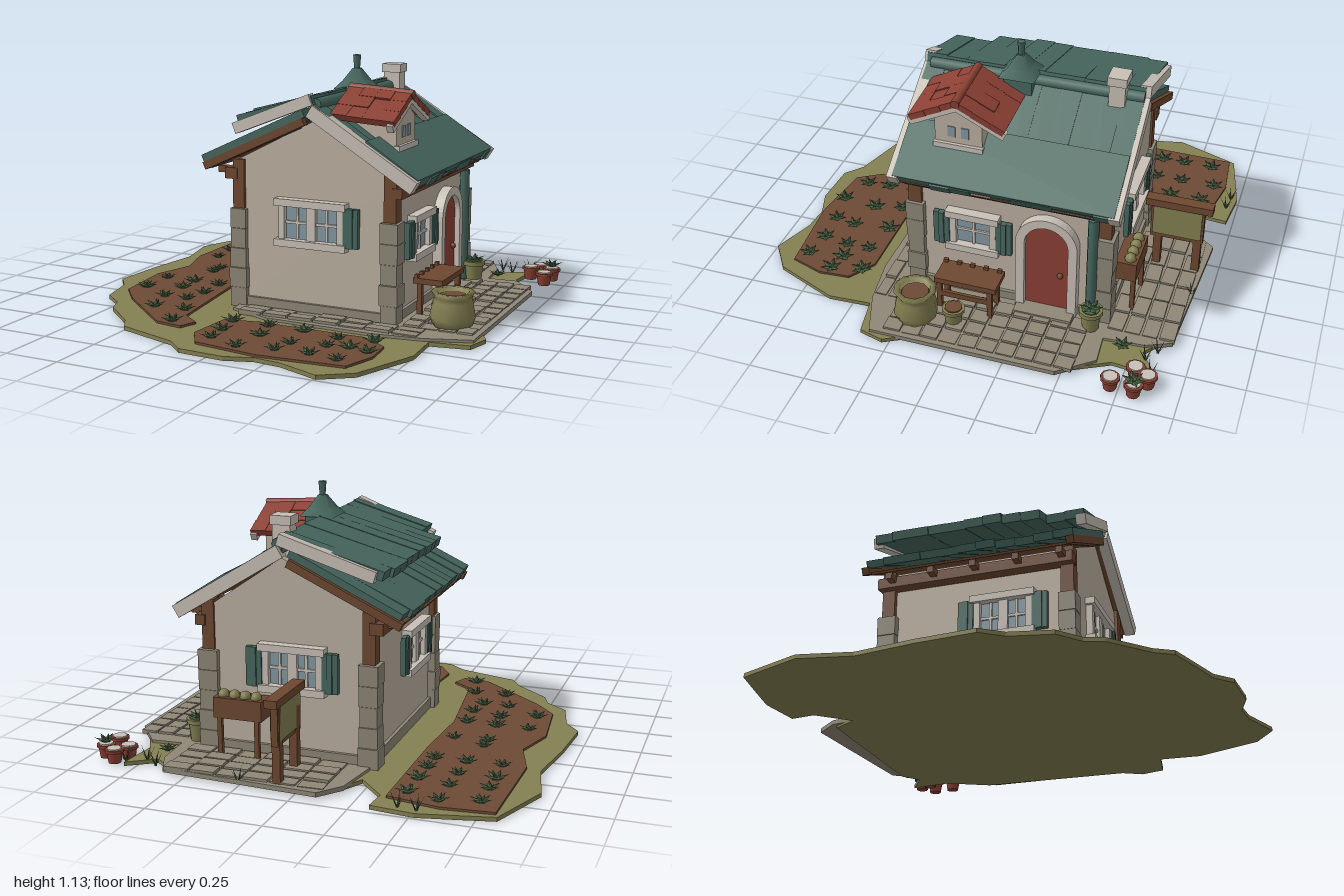
import * as THREE from 'three';
import { mergeGeometries } from 'three/addons/utils/BufferGeometryUtils.js';

const mat = (name, color, side = THREE.FrontSide) => {
  const m = new THREE.MeshStandardMaterial({ color, side });
  m.name = name;
  return m;
};

export function createModel() {
  const M = {
    wall: mat('plaster', 0xbdb1a2), trim: mat('pale trim', 0xc9c1b7), stone: mat('stone', 0x8f8878),
    teal: mat('teal', 0x47685f), red: mat('red', 0x8c4034), wood: mat('wood', 0x6e4830),
    soil: mat('soil', 0x6d4b36), grass: mat('olive', 0x848052), leaf: mat('leaf', 0x506c4a, THREE.DoubleSide),
    glass: mat('glass', 0x8499a3),
  };
  const root = new THREE.Group();
  root.name = 'cottage';
  let seed = 7;
  const rnd = (a, b) => {
    seed = (seed * 16807) % 2147483647;
    return a + (b - a) * seed / 2147483647;
  };

  const add = (name, geo, material, parent = root, x = 0, y = 0, z = 0) => {
    const m = new THREE.Mesh(geo, material);
    m.name = name;
    m.position.set(x, y, z);
    parent.add(m);
    return m;
  };
  // box given by its minimum and maximum on each axis
  const box = (name, material, x0, x1, y0, y1, z0, z1, parent = root) =>
    add(name, new THREE.BoxGeometry(x1 - x0, y1 - y0, z1 - z0), material, parent, (x0 + x1) / 2, (y0 + y1) / 2, (z0 + z1) / 2);
  // plank whose top edge runs between two points in x and y
  const slope = (name, material, [xa, ya], [xb, yb], z0, z1, t) => {
    const len = Math.hypot(xb - xa, yb - ya), a = Math.atan2(yb - ya, xb - xa);
    const m = add(name, new THREE.BoxGeometry(len, t, z1 - z0).translate(0, -t / 2, 0), material, root,
      (xa + xb) / 2, (ya + yb) / 2, (z0 + z1) / 2);
    m.rotation.z = a;
    return m;
  };
  const shapeOf = pts => new THREE.Shape(pts.map(p => new THREE.Vector2(p[0], p[1])));
  const extrude = (shape, depth) => new THREE.ExtrudeGeometry(shape, { depth, bevelEnabled: false, curveSegments: 10 });
  // ground layer from an outline in x and z
  const slab = (name, material, pts, y0, y1) =>
    add(name, extrude(shapeOf(pts.map(([x, z]) => [x, -z])), y1 - y0).rotateX(-Math.PI / 2), material, root, 0, y0, 0);
  const cyl = (name, material, r0, r1, h, x, y, z, sides = 10) =>
    add(name, new THREE.CylinderGeometry(r1, r0, h, sides), material, root, x, y + h / 2, z);

  // Ground, soil beds and paving
  slab('grass', M.grass, [[-.94, -.63], [-.83, -.92], [-.7, -.95], [-.52, -.99], [-.33, -.97], [-.34, -.86], [-.22, -.73],
    [-.16, -.84], [.6, -.86], [.68, -.8], [.8, -.88], [.78, -.69], [.88, -.5], [.9, .19], [.95, .28], [.92, .39], [.75, .42],
    [.76, .61], [.64, .9], [.51, .99], [.32, .92], [.2, .91], [.08, .95], [-.13, .94], [-.21, .87], [-.5, .78], [-.55, .7],
    [-.71, .56], [-.74, .48], [-.84, .4], [-.88, .22], [-.95, .13], [-.93, -.13], [-.89, -.4]], 0, .018);
  slab('left soil bed', M.soil, [[-.82, -.9], [-.6, -.92], [-.37, -.88], [-.37, -.3], [-.39, .05], [-.33, .55], [-.24, .62],
    [-.27, .7], [-.4, .68], [-.55, .55], [-.7, .42], [-.8, .3], [-.83, 0], [-.77, -.2], [-.83, -.4]], .012, .028);
  slab('front soil bed', M.soil, [[-.15, .53], [0, .5], [.5, .5], [.62, .58], [.63, .72], [.58, .87], [.2, .9], [-.1, .86],
    [-.17, .75]], .012, .028);
  slab('paving', M.stone, [[-.18, -.85], [-.1, -.95], [.6, -.91], [.65, -.8], [.66, -.62], [.8, -.63], [.92, -.48], [.92, .35],
    [.72, .42], [.5, .45], [0, .44], [-.2, .36], [-.22, -.6]], .01, .03);
  const tiles = (x0, x1, z0, z1, w, d) => {
    for (let z = z0; z + d <= z1 + .01; z += d) for (let x = x0; x + w <= x1 + .01; x += w)
      box('paving stone', M.stone, x + .005, x + w - .005, .02, rnd(.033, .044), z + .005, z + d - .005).rotation.y = rnd(-.05, .05);
  };
  tiles(-.12, .6, -.92, -.62, .12, .075);
  tiles(.58, .9, -.55, .3, .08, .085);
  tiles(-.15, .7, .3, .42, .121, .06);

  // Walls, stone footing and corner stones
  add('walls', extrude(shapeOf([[-.21, .02], [.53, .02], [.53, .65], [.18, .89], [-.21, .69]]), .88), M.wall, root, 0, 0, -.6);
  box('footing', M.stone, -.225, .545, .02, .07, -.615, .295);
  for (const x of [-.205, .52]) for (const z of [-.58, .265]) {
    for (let i = 0; i < 5; i++) {
      const w = rnd(.035, .046);
      box('corner stone', M.stone, x - w, x + w, .02 + i * .09, .108 + i * .09, z - w, z + w);
    }
    box('corner post', M.wood, x - .028, x + .028, .47, .69, z - .03, z + .03);
  }

  // Roof strips: steep right slope, low left layer and raised left layer
  const ridge = [.18, .955];
  for (let i = 0; i < 11; i++) {
    const z0 = -.64 + i * .0885, z1 = z0 + .0885;
    const d = rnd(-.006, .006), e = rnd(-.01, .01);
    slope('right roof strip', M.teal, [.18, .955 + d], [.65 + e, .655 + d], z0, z1, .045);
    slope('left lower strip', M.teal, [.14, .9 + d], [-.355 + e, .668 + d], z0, z1, .035);
    slope('left upper strip', M.teal, [.18, .955 + d], z1 < .19 ? [-.28 + e, .83 + d] : [-.18, .85 + d], z0, z1, .04);
  }
  slope('right course', M.teal, [.42, .817], [.655, .667], -.64, .32, .03);
  for (const z of [-.65, .31]) {
    slope('right barge board', M.trim, ridge, [.66, .66], z - .012, z + .035, .058);
    slope('left barge board', M.trim, ridge, z < 0 ? [-.24, .825] : [-.19, .81], z - .012, z + .035, .05);
    slope('lower barge board', M.wood, [.14, .866], [-.35, .638], z - .01, z + .025, .035);
  }
  slope('right soffit', M.wood, [.2, .895], [.63, .625], -.62, .3, .012);
  slope('left soffit', M.wood, [.1, .845], [-.34, .64], -.62, .3, .012);
  add('ridge roll', new THREE.CylinderGeometry(.027, .027, .95, 8).rotateX(Math.PI / 2), M.teal, root, .18, .955, -.165);
  box('right eave beam', M.wood, .53, .575, .575, .62, -.62, .3);
  box('left eave beam', M.wood, -.27, -.21, .6, .65, -.62, .3);
  for (let i = 0; i < 5; i++) {
    const z = -.56 + i * .2;
    box('right rafter', M.wood, .53, .62, .61, .64, z, z + .03);
    box('left rafter', M.wood, -.32, -.21, .62, .65, z, z + .03);
  }

  // Chimney and cupola
  box('chimney', M.trim, .155, .235, .88, 1.04, -.565, -.495);
  box('chimney cap', M.trim, .148, .242, 1.02, 1.06, -.572, -.488);
  box('cupola base', M.teal, .13, .25, .88, .99, -.165, -.04);
  const pyramid = (r0, r1, h, y) => {
    cyl('cupola roof', M.teal, r0, r1, h, .19, y, -.1, 4).rotation.y = Math.PI / 4;
  };
  pyramid(.112, .07, .035, .985);
  pyramid(.07, .022, .055, 1.02);
  cyl('cupola finial', M.teal, .013, .018, .065, .19, 1.07, -.1, 6);

  // Dormer: gabled wall, tiled red roof and pale edge
  const dormer = new THREE.Group();
  dormer.name = 'dormer';
  dormer.rotation.y = Math.PI / 2;
  dormer.position.set(0, 0, .075);
  root.add(dormer);
  add('dormer wall', extrude(shapeOf([[-.105, .72], [.105, .72], [.105, .89], [0, .96], [-.105, .89]]), .28), M.wall, dormer, 0, 0, .22);
  box('dormer sill', M.trim, -.11, .11, .755, .78, .49, .515, dormer);
  for (const x of [-.03, .03]) box('dormer pane', M.glass, x - .017, x + .017, .81, .86, .498, .504, dormer);
  for (const s of [-1, 1]) {
    for (let i = 0; i < 4; i++) for (let j = 0; j < 3; j++) {
      const m = add('dormer tile', new THREE.BoxGeometry(.078, .028, .074), M.red, dormer,
        s * (.034 + j * .069), .99 - j * .036 - i * .005 + rnd(-.003, .003), .275 + i * .0725);
      m.rotation.set(.06, 0, -s * .46);
    }
    const edge = add('dormer barge board', new THREE.BoxGeometry(.235, .035, .03), M.trim, dormer, s * .105, .919, .512);
    edge.rotation.z = -s * .46;
  }
  add('dormer ridge', new THREE.CylinderGeometry(.02, .02, .3, 6).rotateX(Math.PI / 2 + .06), M.red, dormer, 0, 1.0, .385);

  // Windows, made facing forward and then turned to each wall
  const makeWindow = (x, z, turn, y, w, h, panes, shutters) => {
    const g = new THREE.Group();
    g.name = 'window';
    g.position.set(x, y, z);
    g.rotation.y = turn;
    root.add(g);
    const a = w / 2, b = h / 2;
    box('glass', M.glass, -a, a, -b, b, 0, .008, g);
    for (const s of [-1, 1]) {
      box('window jamb', M.trim, s * a - .014, s * a + .014, -b, b, 0, .03, g);
      box('window ledge', M.trim, -a - .03, a + .03, s * b - .016, s * b + .016, 0, .045, g);
    }
    for (let i = 0; i < panes; i++) {
      const c = -a + (i + .5) * w / panes;
      box('glazing bar', M.trim, c - .006, c + .006, -b, b, 0, .016, g);
      if (i) box('mullion', M.trim, c - w / panes / 2 - .022, c - w / panes / 2 + .022, -b, b, 0, .025, g);
    }
    box('glazing bar', M.trim, -a, a, -.006, .006, 0, .016, g);
    for (const s of shutters) for (let i = 0; i < 3; i++) {
      const c = s * (a + .027 + i * .024);
      box('shutter slat', M.teal, c - .0115, c + .0115, -b + .004, b - .004, .012, .034 + (i % 2) * .005, g);
    }
  };
  makeWindow(.155, .28, 0, .43, .28, .18, 2, [1]);
  makeWindow(.53, 0, Math.PI / 2, .37, .18, .17, 1, [-1, 1]);
  makeWindow(.13, -.6, Math.PI, .42, .24, .18, 2, [-1, 1]);
  makeWindow(-.21, -.03, -Math.PI / 2, .4, .24, .18, 2, [-1, 1]);

  // Arched door
  const entry = new THREE.Group();
  entry.name = 'entry';
  entry.position.set(.53, 0, -.335);
  entry.rotation.y = Math.PI / 2;
  root.add(entry);
  const arch = (r, y0, y1, C = THREE.Shape) => {
    const s = new C();
    s.moveTo(-r, y0);
    s.lineTo(r, y0);
    s.lineTo(r, y1);
    s.absarc(0, y1, r, 0, Math.PI, false);
    s.lineTo(-r, y0);
    return s;
  };
  const frame = arch(.137, .02, .385);
  frame.holes.push(arch(.097, .03, .385, THREE.Path));
  add('door frame', extrude(frame, .045), M.trim, entry);
  add('door', extrude(arch(.097, .03, .385), .02), M.red, entry);
  add('door knob', new THREE.SphereGeometry(.014, 8, 6), M.wood, entry, .06, .23, .028);
  box('door step', M.stone, -.13, .13, .02, .05, 0, .1, entry);
  cyl('downpipe', M.teal, .024, .024, .53, .56, .04, -.535, 8);

  // Bench with a low back
  for (const z of [-.13, .1]) for (const x of [.58, .67]) box('bench leg', M.wood, x, x + .022, .03, .18, z, z + .022);
  box('bench top', M.wood, .565, .7, .175, .2, -.15, .13);
  box('bench rail', M.wood, .675, .69, .1, .125, -.13, .12);
  for (let i = 0; i < 5; i++) box('bench peg', M.wood, .57, .585, .2, .215, -.14 + i * .062, -.12 + i * .062);

  // Sack, pots and flower tubs
  add('sack', new THREE.LatheGeometry([[0, 0], [.085, 0], [.098, .04], [.085, .11], [.08, .125], [.095, .15], [.07, .15], [.065, .125], [0, .125]]
    .map(p => new THREE.Vector2(...p)), 10), M.grass, root, .77, .03, .19);
  cyl('sack filling', M.soil, .066, .06, .012, .77, .153, .19);
  const pot = (x, z, r, h, material, fill, y = .03) => {
    cyl('pot', material, r * .75, r, h, x, y, z);
    cyl('pot rim', material, r * 1.12, r * 1.12, h * .2, x, y + h * .8, z);
    cyl('pot filling', fill, r * .85, r * .85, .006, x, y + h, z);
  };
  pot(.76, .02, .045, .08, M.grass, M.soil);
  pot(.61, -.55, .048, .1, M.grass, M.leaf);
  for (const [x, z] of [[.855, -.86], [.92, -.815], [.91, -.715], [.82, -.8]]) pot(x, z, .037, .06, M.red, M.trim, .004);

  // Board on two posts, and a crate of produce behind the house
  for (const z of [-.9, -.72]) box('board post', M.wood, .065, .1, .03, .38, z - .018, z + .018);
  box('board', M.wood, .07, .1, .19, .37, -.925, -.685);
  for (const x of [.065, .1]) box('board panel', M.grass, x, x + .006, .21, .355, -.915, -.695);
  box('board cap', M.wood, .058, .112, .36, .395, -.96, -.66);
  box('crate', M.wood, .24, .46, .2, .29, -.705, -.61);
  for (const x of [.255, .425]) box('crate leg', M.wood, x, x + .02, .03, .2, -.7, -.68);
  for (let i = 0; i < 4; i++) add('produce', new THREE.SphereGeometry(.026, 8, 6), M.grass, root, .275 + i * .05, .295, -.67);

  // Leafy plants in the beds and grass tufts
  const blade = (w, len, lift, turn) => new THREE.ConeGeometry(w, len, 4).scale(1, 1, .35).translate(0, len / 2, 0)
    .rotateX(Math.PI / 2 - lift).rotateY(turn);
  const plantGeo = mergeGeometries([0, 1, 2, 3, 4, 5, 6, 7, 8].map(i =>
    i < 6 ? blade(.02, .054, .35, i * Math.PI / 3) : blade(.013, .038, .9, i * 2.09)));
  const plant = (x, z, y = .028) => {
    const m = add('plant', plantGeo, M.leaf, root, x, y, z);
    m.rotation.y = rnd(0, 6);
    m.scale.setScalar(rnd(.85, 1.1));
  };
  [[-.74, -.82], [-.58, -.86], [-.44, -.82], [-.74, -.68], [-.58, -.7], [-.44, -.67], [-.74, -.57], [-.58, -.57], [-.44, -.54],
    [-.73, -.42], [-.58, -.43], [-.44, -.43], [-.6, -.22], [-.6, -.15], [-.45, -.16], [-.74, .05], [-.59, .05], [-.45, .06],
    [-.74, .23], [-.58, .17], [-.44, .21], [-.58, .33], [-.46, .33], [-.53, .49], [-.38, .48], [-.34, .65], [-.1, .54], [.07, .54],
    [.24, .54], [.41, .57], [.56, .54], [-.08, .67], [.1, .67], [.26, .71], [.41, .68], [.5, .66], [.59, .68], [-.07, .78],
    [.08, .84], [.24, .81], [.39, .8], [.52, .82], [.68, -.71]].forEach(p => plant(...p));
  plant(.61, -.55, .13);
  plant(.92, -.815, .075);
  const tuft = mergeGeometries([0, 1, 2, 3, 4].map(i => blade(.005, .075, 1.1, i * 1.3)));
  for (const [x, z] of [[-.52, -.96], [-.44, -.95], [.25, -.92], [.72, -.82], [.8, -.86], [.66, -.86]]) add('grass tuft', tuft, M.leaf, root, x, .012, z);

  return root;
}
